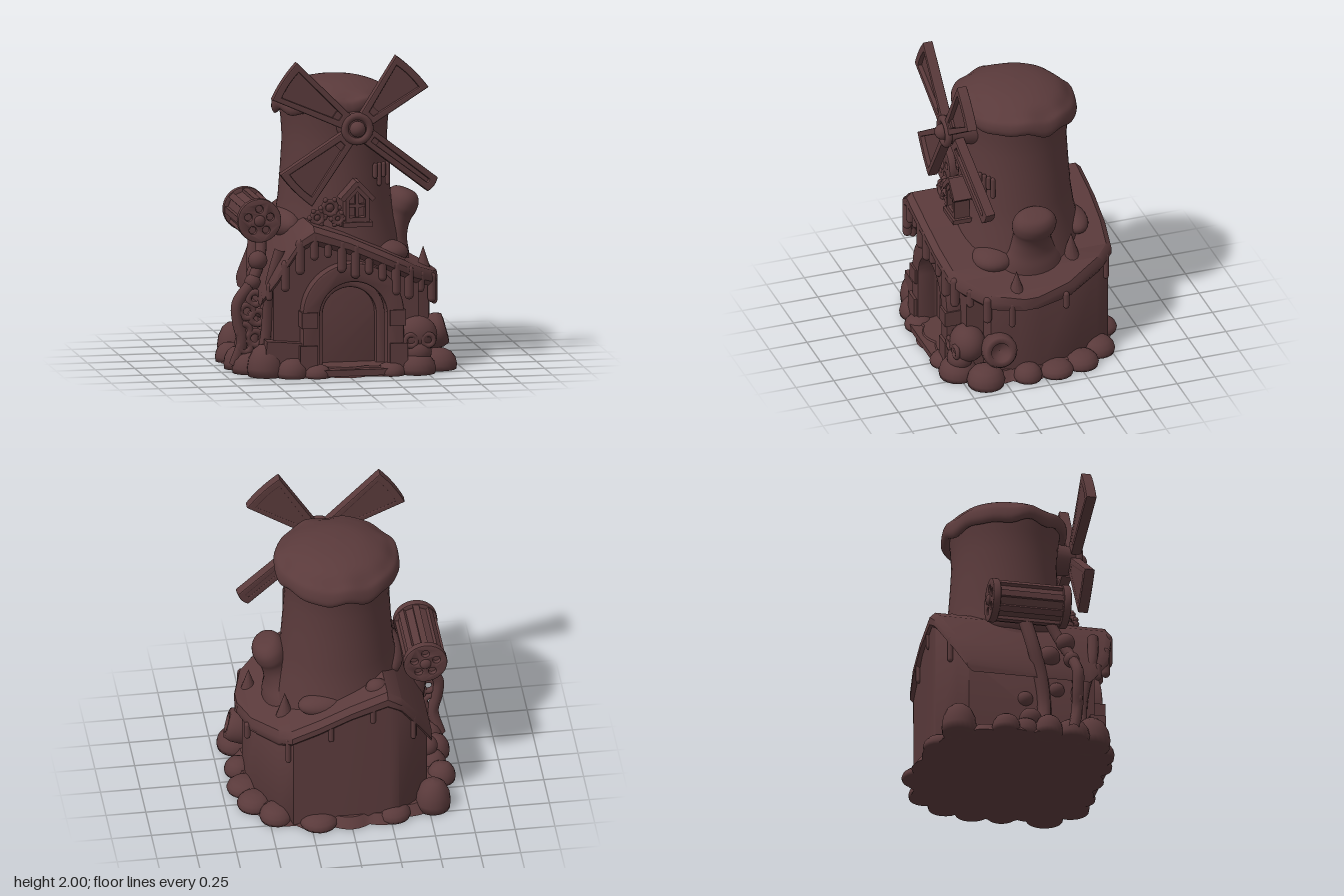
import * as THREE from 'three';
import { toCreasedNormals } from 'three/addons/utils/BufferGeometryUtils.js';

export function createModel() {
  const root = new THREE.Group();
  const clay = new THREE.MeshStandardMaterial({ color: 0x5a3a3b });
  clay.name = 'dark brown';

  const add = (name, geo, x = 0, y = 0, z = 0, parent = root) => {
    const m = new THREE.Mesh(geo, clay);
    m.name = name;
    m.position.set(x, y, z);
    parent.add(m);
    return m;
  };
  const P = pts => pts.map(p => new THREE.Vector2(...p));
  const sphere = new THREE.SphereGeometry(1, 24, 16);
  const blob = (name, x, y, z, sx, sy = sx, sz = sx, parent = root) => {
    const m = add(name, sphere, x, y, z, parent);
    m.scale.set(sx, sy, sz);
  };
  const drip = (x, top, z, len, r = 0.022) =>
    add('drip', new THREE.CapsuleGeometry(r, len, 4, 10), x, top - len / 2, z);
  const tube = (name, pts, r) => add(name, new THREE.TubeGeometry(
    new THREE.CatmullRomCurve3(pts.map(p => new THREE.Vector3(...p))), 40, r, 8));

  // Skin rectangular sections (x, front z, back z, top, bottom) with bevelled corners
  function loft(sections, b) {
    const pos = [], idx = [], n = 8;
    for (const [x, f, k, t, o] of sections) {
      for (const [z, y] of [[f - b, o], [f, o + b], [f, t - b], [f - b, t],
        [k + b, t], [k, t - b], [k, o + b], [k + b, o]]) pos.push(x, y, z);
    }
    const last = (sections.length - 1) * n;
    for (let s = 0; s < last; s += n) {
      for (let j = 0; j < n; j++) {
        const a = s + j, c = s + (j + 1) % n;
        idx.push(a, a + n, c + n, a, c + n, c);
      }
    }
    for (let j = 1; j < n - 1; j++) idx.push(0, j, j + 1, last, last + j + 1, last + j);
    const g = new THREE.BufferGeometry();
    g.setAttribute('position', new THREE.Float32BufferAttribute(pos, 3));
    g.setIndex(idx);
    return toCreasedNormals(g, 0.7);
  }

  // Scalloped ground slab
  const slab = new THREE.CylinderGeometry(0.92, 1, 0.06, 108, 1);
  const sp = slab.attributes.position;
  for (let i = 0; i < sp.count; i++) {
    const x = sp.getX(i), z = sp.getZ(i), a = Math.atan2(z, x);
    const k = (0.94 + 0.06 * Math.abs(Math.sin(a * 9))) * (1 + 0.07 * Math.sin(2 * a) ** 2);
    sp.setX(i, x * k * 0.69);
    sp.setZ(i, z * k * 0.61);
  }
  slab.computeVertexNormals();
  add('groundSlab', slab, 0, 0.03, 0);

  // Flat-bottomed rocks around the foot: x, z, radius, height
  const rock = new THREE.LatheGeometry(P([[0, 0], [0.95, 0], [1, 0.25], [0.92, 0.55],
    [0.7, 0.82], [0.4, 0.96], [0, 1]]), 20);
  for (const [x, z, r, h] of [[-0.53, -0.43, 0.11, 0.2], [-0.27, -0.49, 0.11, 0.09],
    [0.2, -0.51, 0.12, 0.08], [0.45, -0.42, 0.11, 0.1], [0.57, -0.27, 0.11, 0.09],
    [0.61, -0.09, 0.11, 0.08], [0.62, 0.1, 0.09, 0.1], [0.6, 0.37, 0.12, 0.13],
    [0.44, 0.5, 0.12, 0.13], [0.27, 0.53, 0.09, 0.08], [-0.2, 0.53, 0.09, 0.08],
    [-0.35, 0.5, 0.1, 0.12], [-0.5, 0.42, 0.12, 0.2], [-0.58, 0.28, 0.11, 0.14],
    [-0.62, 0.12, 0.09, 0.14], [-0.62, -0.15, 0.09, 0.12], [-0.58, -0.02, 0.09, 0.12]])
    add('rock', rock, x, 0, z).scale.set(r, h, r);

  // House body, and a thicker front wall with the door opening
  add('houseWalls', loft([[-0.5, 0.33, -0.36, 0.54, 0], [-0.44, 0.34, -0.42, 0.66, 0],
    [-0.3, 0.34, -0.53, 0.86, 0], [-0.24, 0.34, -0.535, 0.9, 0], [0.02, 0.34, -0.54, 0.82, 0],
    [0.36, 0.34, -0.52, 0.66, 0], [0.44, 0.34, -0.42, 0.62, 0], [0.55, 0.32, -0.21, 0.57, 0],
    [0.59, 0.15, 0, 0.54, 0]], 0.01));
  const archPath = (C, w, h, cx = 0, y0 = 0) => {
    const p = new C();
    p.moveTo(cx - w, y0);
    p.lineTo(cx + w, y0);
    p.lineTo(cx + w, h - w);
    p.absarc(cx, h - w, w, 0, Math.PI, false);
    p.lineTo(cx - w, y0);
    return p;
  };
  const front = new THREE.Shape(P([[-0.46, 0], [0.46, 0], [0.46, 0.61], [0.36, 0.66],
    [0.02, 0.82], [-0.24, 0.9], [-0.36, 0.78], [-0.46, 0.6]]));
  front.holes.push(archPath(THREE.Path, 0.22, 0.6, 0.03, 0.03));
  add('frontWall', new THREE.ExtrudeGeometry(front, { depth: 0.12, bevelEnabled: false, curveSegments: 20 }), 0, 0, 0.33);

  // Lopsided gable roof
  const roof = [[-0.53, 0.44, -0.38, 0.53, 0.44], [-0.45, 0.54, -0.44, 0.69, 0.58],
    [-0.32, 0.59, -0.54, 0.9, 0.79], [-0.23, 0.6, -0.55, 0.96, 0.84],
    [0, 0.59, -0.56, 0.88, 0.77], [0.2, 0.57, -0.56, 0.79, 0.68],
    [0.37, 0.54, -0.54, 0.71, 0.6], [0.44, 0.49, -0.46, 0.67, 0.56],
    [0.58, 0.36, -0.22, 0.61, 0.51], [0.64, 0.16, 0, 0.58, 0.5]];
  add('roof', loft(roof, 0.035));

  // Melting drips spaced along the front and back eaves and the right end
  for (let i = 0; i < 13; i++) {
    const x = -0.49 + i * 0.088;
    const k = roof.findIndex(s => s[0] >= x), a = roof[k - 1], c = roof[k];
    const t = (x - a[0]) / (c[0] - a[0]);
    const at = j => a[j] + (c[j] - a[j]) * t;
    const w = Math.abs(Math.sin(i * 2.3));
    drip(x, at(4) + 0.06, at(1) - 0.025, 0.07 + 0.1 * w, 0.022 + 0.008 * w);
    if (i % 3 === 1) drip(x, at(4) + 0.05, at(2) + 0.02, 0.08 + 0.08 * w, 0.018);
  }
  [[0.61, 0.2, 0.14], [0.6, -0.16, 0.08]].forEach(([x, z, l]) => drip(x, 0.54, z, l, 0.02));

  // Stone arch, inner frame and recessed door
  const arch = (name, wo, ho, wi, hi, z, depth) => {
    const s = archPath(THREE.Shape, wo, ho);
    if (wi) s.holes.push(archPath(THREE.Path, wi, hi, 0, 0.01));
    add(name, toCreasedNormals(new THREE.ExtrudeGeometry(s, {
      depth, curveSegments: 20, bevelSize: 0.012, bevelThickness: 0.012, bevelSegments: 2 }), 0.6), 0.03, 0.02, z);
  };
  arch('doorArch', 0.31, 0.68, 0.225, 0.585, 0.44, 0.09);
  arch('doorFrame', 0.22, 0.58, 0.18, 0.53, 0.35, 0.05);
  arch('door', 0.19, 0.54, 0, 0, 0.34, 0.006);
  add('doorStep', new THREE.BoxGeometry(0.44, 0.04, 0.26), 0.03, 0.03, 0.47);
  for (const s of [-1, 1]) {
    add('archFoot', new THREE.BoxGeometry(0.11, 0.2, 0.13), 0.03 + s * 0.285, 0.1, 0.495);
    add('archBlock', new THREE.BoxGeometry(0.1, 0.1, 0.12), 0.03 + s * 0.28, 0.36, 0.495);
  }
  add('lowWall', new THREE.BoxGeometry(0.24, 0.2, 0.1), -0.4, 0.12, 0.46).rotation.z = -0.08;

  // Round tower and its shallow, sagging cap
  add('tower', new THREE.LatheGeometry(P([[0.43, 0.65], [0.395, 0.82], [0.37, 0.93], [0.353, 1.05],
    [0.338, 1.25], [0.328, 1.42], [0.335, 1.54], [0.35, 1.66]]), 48), 0.02, 0, -0.02);
  const cap = new THREE.LatheGeometry(new THREE.SplineCurve(P([[0.33, 1.62], [0.37, 1.59],
    [0.392, 1.625], [0.382, 1.68], [0.345, 1.71], [0.28, 1.755], [0.16, 1.795], [0, 1.81]])).getPoints(28), 64);
  const cp = cap.attributes.position;
  for (let i = 0; i < cp.count; i++) {
    const x = cp.getX(i), z = cp.getZ(i), y = cp.getY(i), a = Math.atan2(z, x);
    const edge = Math.min(1, Math.max(0, (1.76 - y) / 0.1));
    cp.setY(i, y + edge * (0.012 * Math.sin(a * 7) + 0.008 * Math.sin(a * 11 + 1) + 0.09 * z));
  }
  cap.computeVertexNormals();
  add('towerCap', cap, 0.02, 0, -0.02);

  // Leaning spout, spikes and mounds on the roof
  const spout = add('spout', new THREE.LatheGeometry(new THREE.SplineCurve(P([[0.25, -0.06], [0.2, 0.03],
    [0.15, 0.1], [0.125, 0.17], [0.125, 0.23], [0.14, 0.28], [0.135, 0.34], [0.09, 0.385], [0, 0.395]])).getPoints(32), 32), 0.335, 0.71, -0.005);
  spout.rotation.z = -0.36;
  spout.scale.set(0.75, 1, 1);
  blob('roofMound', -0.18, 0.92, -0.4, 0.07, 0.06, 0.06);
  blob('roofMound', 0.15, 0.8, -0.36, 0.16, 0.07, 0.09);
  blob('roofMound', 0.3, 0.72, 0.22, 0.14, 0.08, 0.14);
  blob('roofMound', -0.3, 0.9, 0.03, 0.1, 0.1, 0.24);
  for (const [x, y, z] of [[0.55, 0.65, 0.15], [0.38, 0.75, -0.27]])
    add('spike', new THREE.ConeGeometry(0.06, 0.18, 12), x, y, z);

  // Barrel wheel on the left with pierced end discs
  const wheel = new THREE.Group();
  wheel.name = 'barrelWheel';
  wheel.position.set(-0.51, 0.95, 0.015);
  root.add(wheel);
  add('barrel', toCreasedNormals(new THREE.CylinderGeometry(0.118, 0.118, 0.44, 8), 0.3), 0, 0, 0, wheel).rotation.x = Math.PI / 2;
  const disc = new THREE.Shape().absarc(0, 0, 0.13, 0, Math.PI * 2);
  for (let i = 0; i < 5; i++) {
    const a = Math.PI / 2 + i * Math.PI * 0.4;
    disc.holes.push(new THREE.Path().absarc(0.073 * Math.cos(a), 0.073 * Math.sin(a), 0.031, 0, Math.PI * 2));
  }
  const discGeo = toCreasedNormals(new THREE.ExtrudeGeometry(disc, { depth: 0.03, curveSegments: 20,
    bevelSize: 0.008, bevelThickness: 0.01, bevelSegments: 2 }), 0.6);
  for (const s of [-1, 1]) {
    add('endDisc', discGeo, 0, 0, s * 0.225 - 0.015, wheel);
    blob('wheelHub', 0, 0, s * 0.25, 0.035, 0.035, 0.02, wheel);
  }
  for (let i = 0; i < 8; i++) {
    const a = i * Math.PI / 4;
    add('barrelSlat', new THREE.BoxGeometry(0.045, 0.04, 0.42), 0.108 * Math.cos(a), 0.108 * Math.sin(a), 0, wheel).rotation.z = a;
  }

  // Tangled vines, knots and openwork rings beneath the wheel
  tube('vine', [[-0.48, 0.86, 0.15], [-0.5, 0.72, 0.22], [-0.56, 0.58, 0.28], [-0.66, 0.44, 0.3], [-0.655, 0.32, 0.3], [-0.63, 0.2, 0.3], [-0.67, 0.05, 0.27]], 0.036);
  tube('vine', [[-0.42, 0.8, 0.45], [-0.47, 0.6, 0.43], [-0.48, 0.42, 0.38], [-0.49, 0.25, 0.36], [-0.52, 0.08, 0.36]], 0.035);
  tube('vine', [[-0.48, 0.85, 0], [-0.51, 0.65, 0.05], [-0.5, 0.45, 0.1], [-0.5, 0.25, 0.12], [-0.56, 0.05, 0.1]], 0.045);
  for (const [x, y, z, r] of [[-0.5, 0.6, 0.15, 0.07], [-0.49, 0.38, 0.2, 0.05], [-0.49, 0.3, 0, 0.05],
    [-0.52, 0.7, 0.25, 0.06], [-0.56, 0.57, 0.28, 0.05], [-0.55, 0.14, 0.02, 0.07]])
    blob('vineKnot', x, y, z, r);
  for (const [x, y, r] of [[-0.6, 0.39, 0.042], [-0.535, 0.35, 0.042], [-0.62, 0.27, 0.04], [-0.55, 0.22, 0.045], [-0.55, 0.47, 0.04], [-0.61, 0.17, 0.035]])
    add('vineRing', new THREE.TorusGeometry(r, 0.02, 8, 20), x, y, 0.31);

  // Skull-shaped stone and open jar by the right wall
  blob('skull', 0.45, 0.23, 0.44, 0.13, 0.12, 0.11);
  blob('skullJaw', 0.45, 0.13, 0.49, 0.085, 0.08, 0.08);
  for (const s of [-1, 1]) add('eyeSocket', new THREE.TorusGeometry(0.036, 0.016, 8, 18), 0.45 + s * 0.055, 0.21, 0.535);
  const jar = add('jar', new THREE.LatheGeometry(P([[0, -0.13], [0.08, -0.12], [0.11, -0.03],
    [0.11, 0.04], [0.095, 0.08], [0.06, 0.085], [0.05, 0.04], [0, 0.03]]), 28), 0.585, 0.22, 0.28);
  jar.rotation.set(0, -0.15, -1.3);

  // Little gabled window and flower gears on the tower front
  const house = (C, k) => new C(P([[-0.075, -0.12], [0.075, -0.12], [0.075, 0.04], [0, 0.12],
    [-0.075, 0.04]].map(([x, y]) => [x * k, y * k])));
  const frame = house(THREE.Shape, 1);
  frame.holes.push(house(THREE.Path, 0.68));
  add('windowFrame', new THREE.ExtrudeGeometry(frame, { depth: 0.1, bevelEnabled: false }), 0.08, 1.06, 0.32);
  add('windowPane', new THREE.ShapeGeometry(house(THREE.Shape, 0.7)), 0.08, 1.06, 0.36);
  add('windowBar', new THREE.BoxGeometry(0.02, 0.18, 0.03), 0.08, 1.05, 0.39);
  add('windowBar', new THREE.BoxGeometry(0.11, 0.02, 0.03), 0.08, 1.05, 0.39);
  for (const s of [-1, 1])
    add('windowRoof', new THREE.BoxGeometry(0.15, 0.03, 0.13), 0.08 + s * 0.05, 1.145, 0.37).rotation.z = -s * 0.82;
  add('windowSill', new THREE.BoxGeometry(0.19, 0.03, 0.13), 0.08, 0.935, 0.37);
  for (const [x, y, r] of [[-0.09, 1.04, 0.042], [-0.17, 0.98, 0.035], [-0.04, 0.97, 0.03]]) {
    add('gear', new THREE.TorusGeometry(r, 0.016, 8, 20), x, y, 0.39);
    for (let i = 0; i < 6; i++)
      blob('gearTooth', x + Math.cos(i * Math.PI / 3) * r * 1.35, y + Math.sin(i * Math.PI / 3) * r * 1.35, 0.39, 0.017);
    blob('gearBacking', x, y, 0.34, r, r, 0.05);
  }
  for (let i = 0; i < 4; i++) drip(0.22 + i * 0.03, 1.28, 0.275 - i * 0.018, 0.07 + 0.05 * (i % 2), 0.015);

  // Sails, framed tapering panels: angle, length, tip half width, z, backward lean
  const sails = new THREE.Group();
  sails.name = 'sails';
  sails.position.set(0.07, 1.545, 0);
  root.add(sails);
  const trapezoid = (C, x0, x1, w0, w1) => {
    const p = new C();
    p.moveTo(x0, -w0);
    p.lineTo(x1, -w1);
    p.quadraticCurveTo(x1 + 0.02, 0, x1, w1);
    p.lineTo(x0, w0);
    p.closePath();
    return p;
  };
  for (const [deg, len, w, z, lean] of [[145.7, 0.55, 0.13, 0.405, 0], [45, 0.49, 0.135, 0.405, 0],
    [224.3, 0.535, 0.135, 0.405, 0], [-37.6, 0.62, 0.045, 0.38, 0.13]]) {
    const g = new THREE.Group();
    g.name = 'sail';
    g.rotation.set(0, lean, deg * Math.PI / 180);
    g.position.z = z;
    sails.add(g);
    const s = trapezoid(THREE.Shape, 0.09, len, 0.045, w);
    s.holes.push(trapezoid(THREE.Path, 0.12, len - 0.03, 0.025, w - 0.025));
    add('sailFrame', new THREE.ExtrudeGeometry(s, { depth: 0.05, bevelSize: 0.008, bevelThickness: 0.008, bevelSegments: 2 }), 0, 0, 0, g);
    add('sailPanel', new THREE.ExtrudeGeometry(trapezoid(THREE.Shape, 0.1, len - 0.02, 0.035, w - 0.015),
      { depth: 0.035, bevelEnabled: false }), 0, 0, -0.005, g);
    add('sailArm', new THREE.BoxGeometry(0.14, 0.05, 0.05), 0.1, 0, 0.02, g);
  }

  // Hub and axle
  add('axle', new THREE.CylinderGeometry(0.08, 0.12, 0.24, 24), 0, 0, 0.34, sails).rotation.x = Math.PI / 2;
  add('hubRing', new THREE.TorusGeometry(0.08, 0.024, 10, 32), 0, 0, 0.455, sails);
  blob('hubCap', 0, 0, 0.47, 0.05, 0.05, 0.05, sails);
  return root;
}
